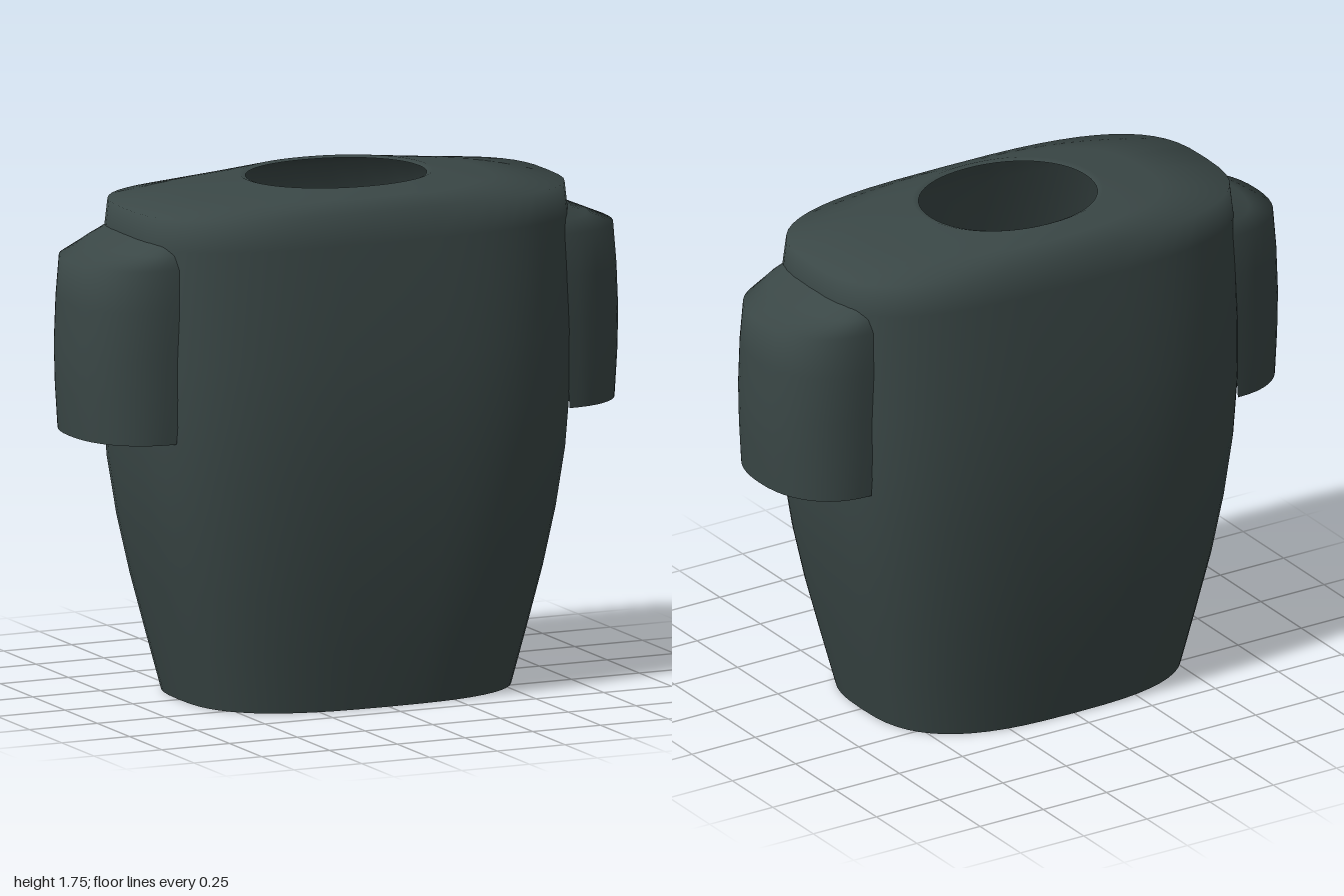
import * as THREE from 'three';

const cloth = new THREE.MeshStandardMaterial({ color: 0x3a4746, side: THREE.DoubleSide });
cloth.name = 'dark slate cloth';

// Skin a stack of equal-length point rows, bottom to top
function loft(rows, closed) {
  const n = rows[0].length, index = [];
  for (let r = 0; r < rows.length - 1; r++) {
    for (let i = 0; i < (closed ? n : n - 1); i++) {
      const j = (i + 1) % n, a = r * n + i, b = r * n + j;
      index.push(a, a + n, b, b, a + n, b + n);
    }
  }
  const geo = new THREE.BufferGeometry();
  geo.setAttribute('position', new THREE.Float32BufferAttribute(rows.flat(2), 3));
  geo.setIndex(index);
  geo.computeVertexNormals();
  return geo;
}

// Rounded-box style curve: exponent 2 is an ellipse, higher is squarer
const bend = (v, e) => Math.sign(v) * Math.abs(v) ** (2 / e);

function mesh(name, geo) {
  const m = new THREE.Mesh(geo, cloth);
  m.name = name;
  return m;
}

// Torso: y, half width, half depth, squareness; open at hem and neck
function torso() {
  const sections = [
    [0, 0.58, 0.41, 2.8], [0.2, 0.632, 0.437, 2.9], [0.4, 0.683, 0.46, 3],
    [0.6, 0.73, 0.475, 3], [0.8, 0.765, 0.483, 3], [1.0, 0.784, 0.482, 3],
    [1.2, 0.792, 0.469, 3], [1.4, 0.793, 0.447, 3], [1.58, 0.79, 0.424, 3],
    [1.685, 0.78, 0.408, 3], [1.718, 0.53, 0.335, 2.5], [1.745, 0.33, 0.272, 2.1],
    [1.738, 0.308, 0.258, 2.1],
  ];
  const n = 56;
  return loft(sections.map(([y, w, d, e]) => Array.from({ length: n }, (_, i) => {
    const t = (i / n) * Math.PI * 2;
    return [w * bend(Math.cos(t), e), y, d * bend(Math.sin(t), e)];
  })), true);
}

// Sleeve: half tube against the torso, sloping in to the shoulder at the top
function sleeve() {
  const sections = [ // y, inner x, outer x, half depth
    [0.93, 0.725, 0.983, 0.288], [1.08, 0.715, 0.995, 0.29], [1.22, 0.71, 1.0, 0.29],
    [1.38, 0.71, 0.993, 0.289], [1.52, 0.70, 0.983, 0.28],
    [1.565, 0.69, 0.876, 0.265], [1.6, 0.68, 0.79, 0.24], [1.635, 0.67, 0.71, 0.2],
  ];
  const n = 24;
  return loft(sections.map(([y, inner, outer, d]) => Array.from({ length: n + 1 }, (_, i) => {
    const t = (i / n - 0.5) * Math.PI;
    return [inner + (outer - inner) * bend(Math.max(Math.cos(t), 0), 2.3), y, d * bend(Math.sin(t), 2.3)];
  })), false);
}

export function createModel() {
  const shirt = new THREE.Group();
  shirt.name = 'shirt';
  shirt.add(mesh('torso', torso()));
  const left = mesh('leftSleeve', sleeve());
  const right = mesh('rightSleeve', left.geometry);
  right.rotation.y = Math.PI;
  shirt.add(left, right);
  return shirt;
}
